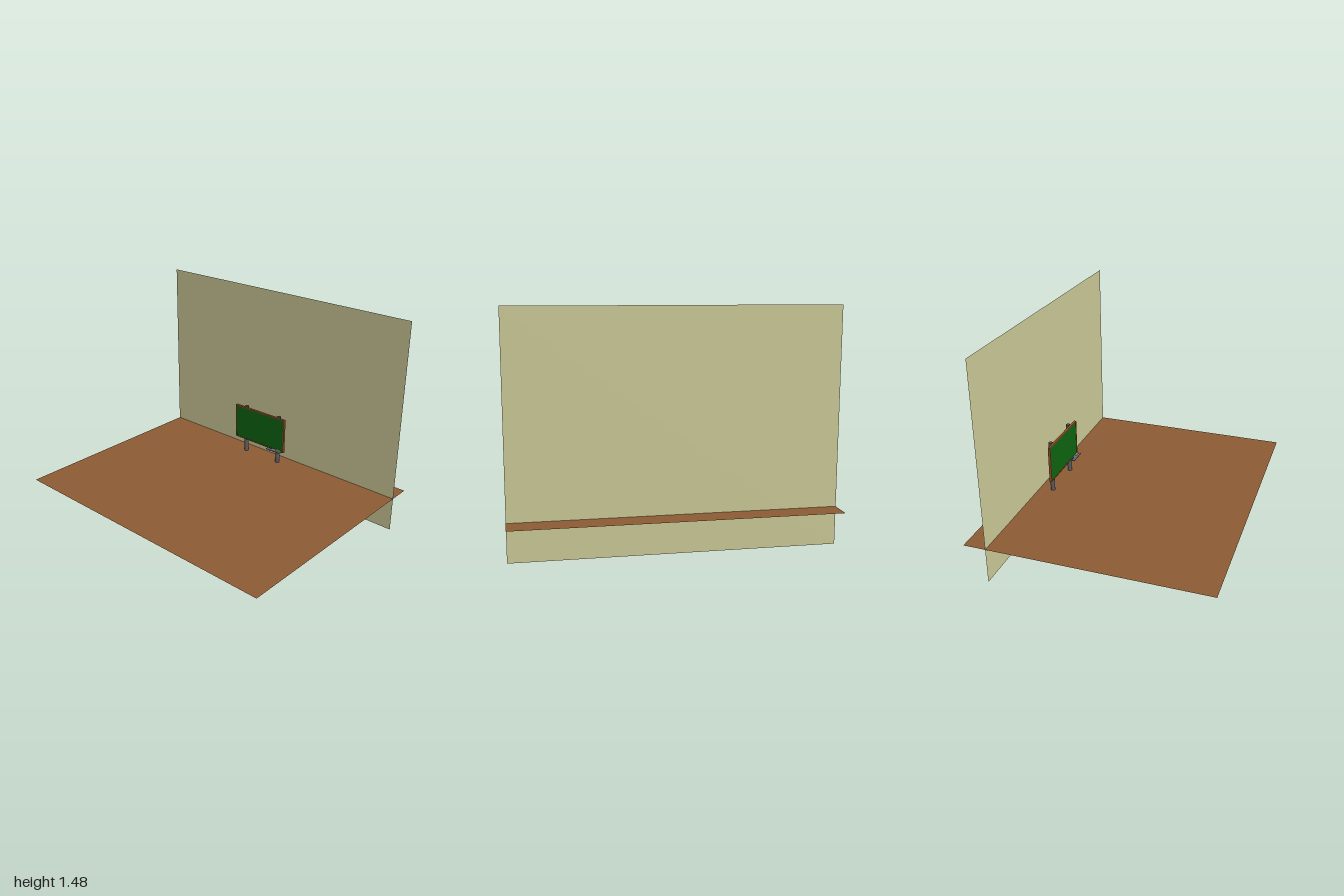
import * as THREE from 'three';

export function createModel() {
  const model = new THREE.Group();
  const mat = (name, color, side = THREE.FrontSide) => {
    const m = new THREE.MeshStandardMaterial({ color, side });
    m.name = name;
    return m;
  };
  const wallPaint = mat('wall paint', 0xcbc997, THREE.DoubleSide);
  const wood = mat('brown wood', 0x8c5c34, THREE.DoubleSide);
  const frameWood = mat('frame wood', 0x8a4f26);
  const green = mat('board green', 0x0d640f);
  const metal = mat('post metal', 0x5c5c60, THREE.DoubleSide);
  const trayMetal = mat('tray metal', 0x666c72);
  const chalkYellow = mat('chalk yellow', 0xd8d08a);
  const chalkDark = mat('eraser dark', 0x303338);

  const add = (name, geometry, material, x, y, z) => {
    const mesh = new THREE.Mesh(geometry, material);
    mesh.name = name;
    mesh.position.set(x, y, z);
    model.add(mesh);
    return mesh;
  };
  // Box given by its minimum and maximum corners
  const box = (name, material, x0, x1, y0, y1, z0, z1) =>
    add(name, new THREE.BoxGeometry(x1 - x0, y1 - y0, z1 - z0), material,
      (x0 + x1) / 2, (y0 + y1) / 2, (z0 + z1) / 2);

  // Floor sheet, and wall sheet passing down through it
  const floorY = 0.24;
  add('floor', new THREE.PlaneGeometry(2, 1.59), wood, 0, floorY, 0).rotation.x = -Math.PI / 2;
  add('wall', new THREE.PlaneGeometry(2, 1.475), wallPaint, 0, 0.7375, -0.645);

  // Board: wooden backing, green face and a narrow frame
  const L = -0.283, R = 0.163, B = 0.346, T = 0.602, back = -0.538, front = -0.521, w = 0.008;
  box('boardBacking', frameWood, L + w, R - w, B + w, T - w, back, front - 0.007);
  box('boardFace', green, L + w, R - w, B + w, T - w, front - 0.007, front - 0.002);
  box('frameBottom', frameWood, L, R, B, B + w, back, front);
  box('frameTop', frameWood, L, R, T - w, T, back, front);
  box('frameRight', frameWood, L, L + w, B + w, T - w, back, front);
  box('frameLeft', frameWood, R - w, R, B + w, T - w, back, front);

  // Open tubular posts behind the board
  for (const x of [-0.205, 0.09]) {
    add('post', new THREE.CylinderGeometry(0.015, 0.015, T - floorY, 24, 1, true),
      metal, x, (T + floorY) / 2, -0.553);
  }

  // Chalk tray with its contents
  box('tray', trayMetal, 0.033, 0.152, 0.348, 0.354, front, -0.49);
  box('chalk', chalkYellow, 0.11, 0.135, 0.354, 0.363, -0.516, -0.505);
  box('eraser', chalkDark, 0.043, 0.07, 0.354, 0.358, -0.515, -0.51);

  return model;
}
